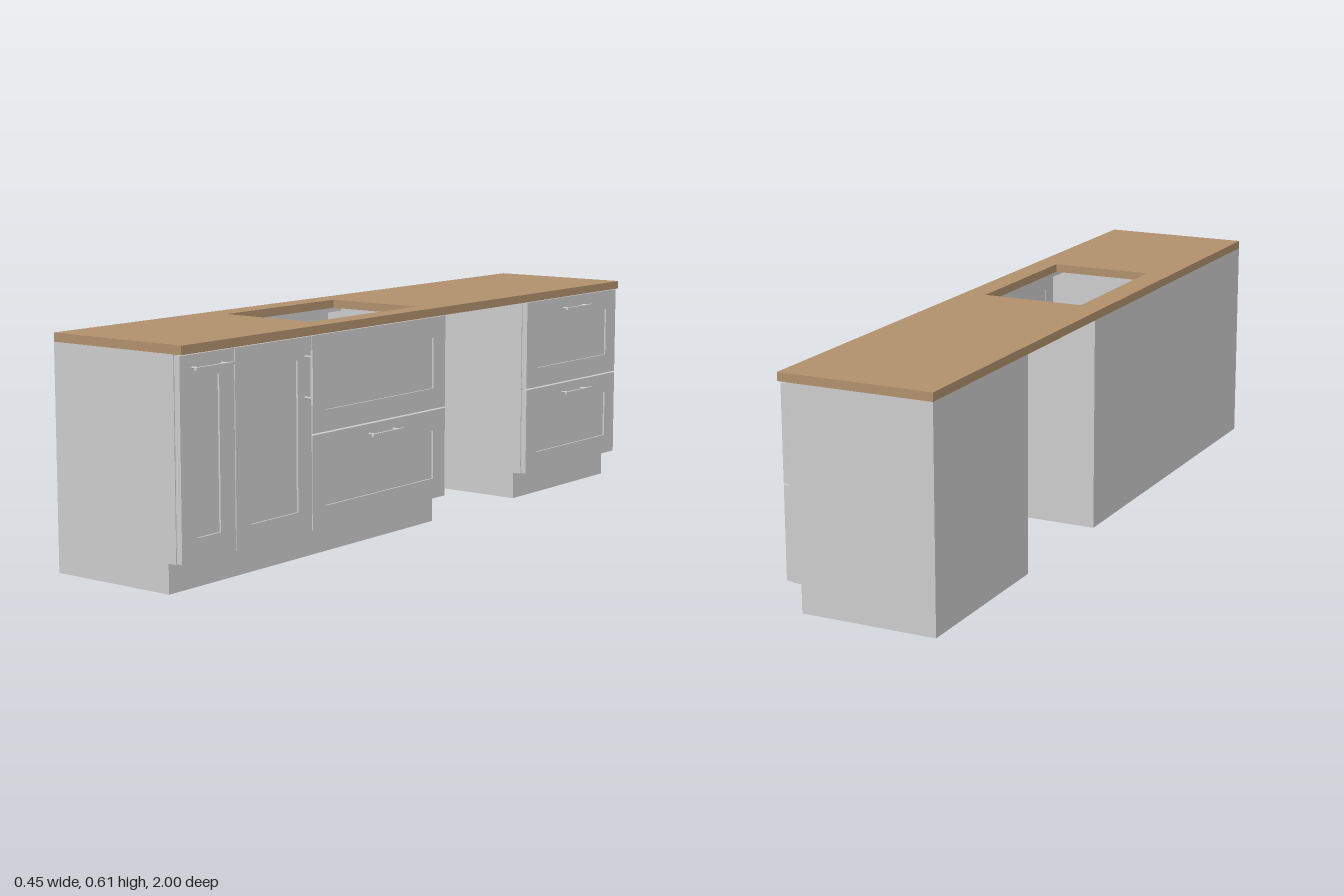
import * as THREE from 'three';

const grey = new THREE.MeshStandardMaterial({ color: 0xcccccc });
const wood = new THREE.MeshStandardMaterial({ color: 0xb0906d });

const BACK = -0.225, CARCASS = 0.177, FACE = 0.195, PLINTH = 0.152;
const FLOOR = 0.077, TOP = 0.59, T = 0.013;

// Box given by its limits on each axis
function slab(parent, name, [x0, x1], [y0, y1], [z0, z1]) {
  const mesh = new THREE.Mesh(new THREE.BoxGeometry(x1 - x0, y1 - y0, z1 - z0), grey);
  mesh.position.set((x0 + x1) / 2, (y0 + y1) / 2, (z0 + z1) / 2);
  mesh.name = name;
  parent.add(mesh);
}

function rectangle(path, a0, a1, b0, b1) {
  path.moveTo(a0, b0);
  path.lineTo(a1, b0);
  path.lineTo(a1, b1);
  path.lineTo(a0, b1);
  path.closePath();
  return path;
}

// Flat plate with a rectangular opening
function holedPlate(outer, inner, depth) {
  const shape = rectangle(new THREE.Shape(), ...outer);
  shape.holes.push(rectangle(new THREE.Path(), ...inner));
  return new THREE.ExtrudeGeometry(shape, { depth, bevelEnabled: false });
}

// Framed front with a slightly recessed centre panel
function framedFront(parent, name, z0, z1, y0, y1) {
  const group = new THREE.Group();
  group.name = name;
  const g = 0.0015, w = 0.057;
  const inner = [z0 + w, z1 - w, y0 + w, y1 - w];
  const geometry = holedPlate([z0 + g, z1 - g, y0, y1], inner, FACE - CARCASS - 0.001);
  geometry.rotateY(-Math.PI / 2);
  const frame = new THREE.Mesh(geometry, grey);
  frame.name = 'frontFrame';
  frame.position.x = FACE;
  group.add(frame);
  slab(group, 'frontPanel', [CARCASS + 0.004, FACE - 0.005], [inner[2], inner[3]], [inner[0], inner[1]]);
  parent.add(group);
}

// Bar handle on two round posts
function barHandle(parent, y, z, vertical) {
  const handle = new THREE.Group();
  handle.name = 'handle';
  slab(handle, 'handleBar', [0.216, 0.223], [-0.0035, 0.0035], [-0.07, 0.07]);
  for (const side of [-1, 1]) {
    const post = new THREE.Mesh(new THREE.CylinderGeometry(0.003, 0.003, 0.024, 12), grey);
    post.name = 'handlePost';
    post.rotation.z = Math.PI / 2;
    post.position.set(0.206, 0, side * 0.053);
    handle.add(post);
  }
  handle.position.set(0, y, z);
  if (vertical) handle.rotation.x = Math.PI / 2;
  parent.add(handle);
}

// Hollow carcass standing on a hollow plinth
function cabinet(name, z0, z1) {
  const group = new THREE.Group();
  group.name = name;
  const inside = [z0 + T, z1 - T];
  for (const z of [[z0, z0 + T], [z1 - T, z1]]) {
    slab(group, 'sidePanel', [BACK, CARCASS], [FLOOR, TOP], z);
    slab(group, 'plinthSide', [BACK, PLINTH], [0, FLOOR], z);
  }
  slab(group, 'bottomPanel', [BACK, CARCASS], [FLOOR, FLOOR + T], inside);
  slab(group, 'backPanel', [BACK, BACK + T], [FLOOR + T, TOP], inside);
  slab(group, 'backRail', [BACK + T, BACK + 0.06], [TOP - T, TOP], inside);
  slab(group, 'frontRail', [CARCASS - 0.035, CARCASS], [TOP - T, TOP], inside);
  slab(group, 'plinthFront', [PLINTH - T, PLINTH], [0, FLOOR], inside);
  slab(group, 'plinthBack', [BACK, BACK + T], [0, FLOOR], inside);
  return group;
}

export function createModel() {
  const model = new THREE.Group();
  model.name = 'kitchenCounter';

  // Worktop with the sink cut-out
  const geometry = holedPlate([BACK, 0.203, -1, 1], [-0.155, 0.138, -0.03, 0.43], 0.023);
  geometry.rotateX(Math.PI / 2);
  const worktop = new THREE.Mesh(geometry, wood);
  worktop.name = 'worktop';
  worktop.position.y = 0.613;
  model.add(worktop);

  // Cabinets: z range, fronts as y ranges, handles as [y, z, vertical]
  const full = [[0.079, 0.587]];
  const drawers = [[0.079, 0.328], [0.332, 0.587]];
  const units = [
    ['pullOutCabinet', 0.8, 1, full, [[0.555, 0.9]]],
    ['doorCabinet', 0.5, 0.8, full, [[0.484, 0.527, true]]],
    ['sinkCabinet', -0.09, 0.5, drawers, [[0.301, 0.205]]],
    ['drawerCabinet', -1, -0.5, drawers, [[0.301, -0.75], [0.555, -0.75]]],
  ];
  for (const [name, z0, z1, fronts, handles] of units) {
    const unit = cabinet(name, z0, z1);
    for (const [y0, y1] of fronts) framedFront(unit, fronts === full ? 'door' : 'drawerFront', z0, z1, y0, y1);
    for (const [y, z, vertical] of handles) barHandle(unit, y, z, vertical);
    model.add(unit);
  }
  return model;
}
